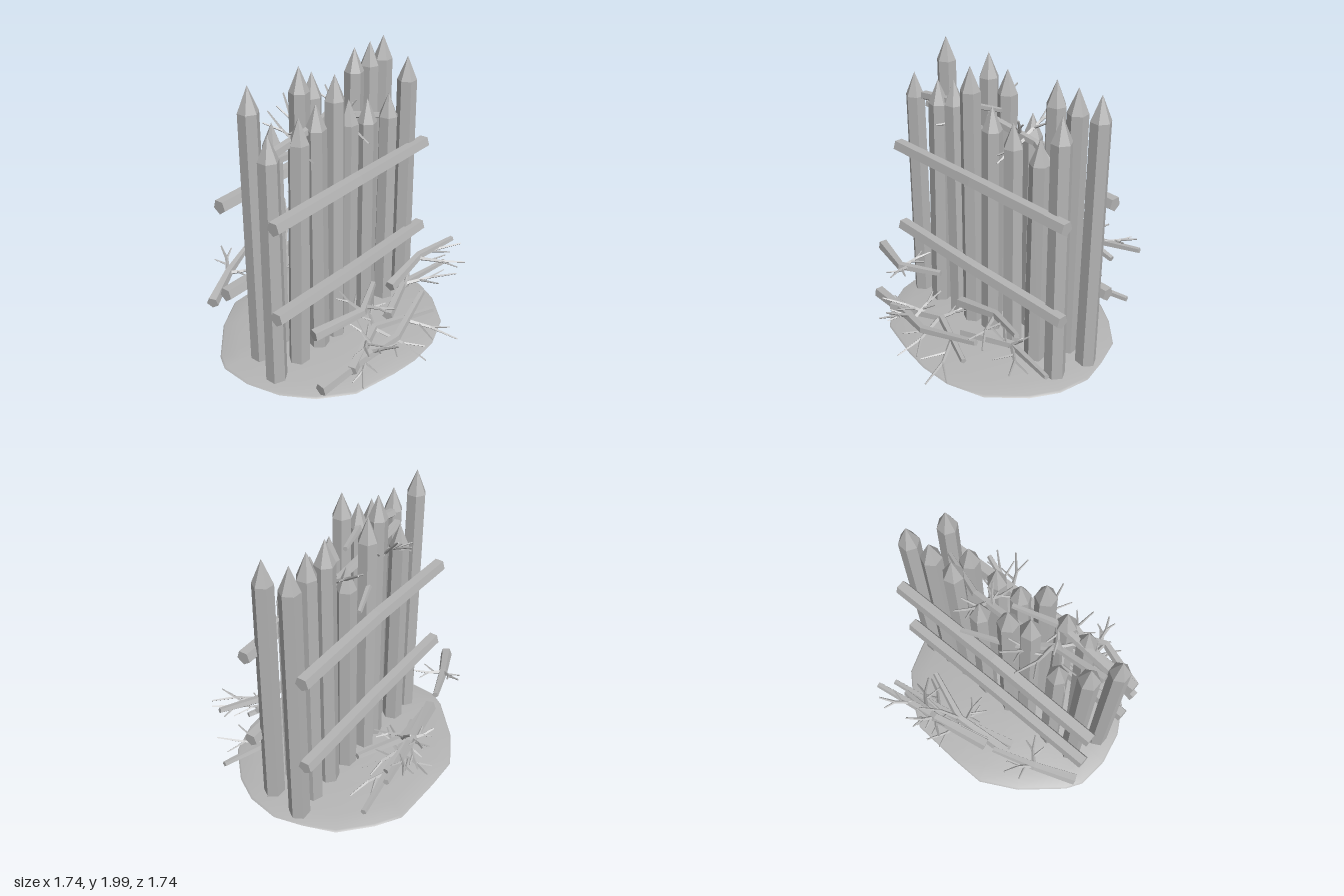
import * as THREE from 'three';

const V = (p) => new THREE.Vector3(...p);

// Faceted limb: polygon cross-sections swept along a path with a radius per point
function limb(path, radii, sides, spin = 0) {
  const pts = path.map(V), pos = [], idx = [];
  const last = pts.length - 1;
  pts.forEach((p, i) => {
    const t = pts[Math.min(i + 1, last)].clone().sub(pts[Math.max(i - 1, 0)]).normalize();
    const ref = Math.abs(t.y) > 0.9 ? V([1, 0, 0]) : V([0, 1, 0]);
    const s = new THREE.Vector3().crossVectors(t, ref).normalize();
    const n = new THREE.Vector3().crossVectors(t, s);
    for (let j = 0; j < sides; j++) {
      const a = spin + (j / sides) * Math.PI * 2;
      const q = p.clone().addScaledVector(s, Math.cos(a) * radii[i]).addScaledVector(n, Math.sin(a) * radii[i]);
      pos.push(q.x, q.y, q.z);
    }
  });
  pos.push(...pts[0].toArray(), ...pts[last].toArray());
  const c0 = pts.length * sides, c1 = c0 + 1;
  for (let j = 0; j < sides; j++) {
    const k = (j + 1) % sides;
    for (let i = 0; i < last; i++) {
      const a = i * sides + j, b = i * sides + k;
      idx.push(a, b, a + sides, b, b + sides, a + sides);
    }
    idx.push(c0, k, j, c1, last * sides + j, last * sides + k);
  }
  const g = new THREE.BufferGeometry();
  g.setAttribute('position', new THREE.Float32BufferAttribute(pos, 3));
  g.setIndex(idx);
  const flat = g.toNonIndexed();
  flat.computeVertexNormals();
  return flat;
}

// Low earth mound: outline rings shrinking towards the top, smooth shaded
function moundGeometry() {
  const outline = [[-.87, -.07], [-.85, -.3], [-.78, -.41], [-.51, -.65], [-.25, -.79], [0, -.79], [.38, -.77],
    [.55, -.66], [.74, -.48], [.82, -.26], [.87, -.06], [.83, .17], [.73, .35], [.52, .56], [.26, .65],
    [.02, .66], [-.18, .63], [-.5, .55], [-.7, .38], [-.82, .17]];
  const rings = [[1, 0], [0.985, 0.012], [0.85, 0.03], [0.6, 0.05], [0.3, 0.06], [0, 0.062]];
  const n = outline.length, pos = [], idx = [], cz = -0.065;
  for (const [s, y] of rings) for (const [x, z] of outline) pos.push(x * s, y, cz + (z - cz) * s);
  for (let r = 0; r < rings.length - 1; r++) for (let i = 0; i < n; i++) {
    const a = r * n + i, b = r * n + (i + 1) % n;
    idx.push(a, a + n, b, b, a + n, b + n);
  }
  // underside
  const base = pos.length / 3;
  for (const [x, z] of outline) pos.push(x, 0, z);
  pos.push(0, 0, cz);
  for (let i = 0; i < n; i++) idx.push(base + n, base + i, base + (i + 1) % n);
  const g = new THREE.BufferGeometry();
  g.setAttribute('position', new THREE.Float32BufferAttribute(pos, 3));
  g.setIndex(idx);
  g.computeVertexNormals();
  return g;
}

export function createModel() {
  const model = new THREE.Group();
  const grey = new THREE.MeshStandardMaterial({ color: 0xb4b4b4 });
  grey.name = 'weathered grey';
  const add = (name, geometry, parent = model) => {
    const m = new THREE.Mesh(geometry, grey);
    m.name = name;
    parent.add(m);
  };

  add('mound', moundGeometry());

  // Sharpened stakes: [x, z, height, lean in x at the foot]
  const rows = {
    frontStake: [[-.71, .05, 1.77, 0], [-.45, .06, 1.79, -.04], [-.29, .06, 1.83, .01], [-.12, .07, 1.97, 0],
      [.055, .045, 1.75, -.01], [.25, .05, 1.7, .01], [.485, .055, 1.67, 0], [.67, .075, 1.88, .02]],
    backStake: [[-.63, -.17, 1.99, .01], [-.425, -.18, 1.69, 0], [-.19, -.155, 1.99, .01], [-.04, -.18, 1.91, 0],
      [.19, -.18, 1.68, 0], [.395, -.17, 1.96, -.01], [.57, -.17, 1.96, 0], [.74, -.18, 1.96, 0]],
  };
  for (const [name, stakes] of Object.entries(rows)) {
    stakes.forEach(([x, z, h, lean], i) => {
      const path = [[x + lean, 0.01, z], [x, h - 0.165, z], [x, h, z]];
      add(name, limb(path, [0.074, 0.068, 0], 6, i * 0.37));
    });
  }

  // Cross rails, slightly bowed, on both faces
  for (const [z, bow] of [[.15, .015], [-.29, .005]]) {
    add('upperRail', limb([[-.8, 1.225, z], [0, 1.24, z + bow], [.805, 1.225, z]], [.05, .05, .05], 5, .3));
    add('lowerRail', limb([[-.8, .58, z], [0, .57, z + bow], [.805, .548, z]], [.05, .05, .05], 5, .3));
  }

  // Dead branches: path, thickness, twigs as [foot, tip]
  const branches = {
    frontBranch: [
      [[[-.73, .53, .39], [-.38, .56, .5], [-.1, .58, .38]], .042,
        [[[-.37, .56, .49], [-.33, .6, .28]], [[-.33, .57, .48], [-.27, .6, .67]]]],
      [[[-.74, .14, .45], [-.36, .18, .5], [-.08, .22, .57], [.36, .31, .48]], .045,
        [[[-.3, .19, .5], [-.28, .33, .72]], [[-.3, .19, .5], [-.52, .1, .62]], [[-.25, .2, .5], [-.2, .35, .3]]]],
      [[[-.5, .17, .51], [-.09, .22, .39], [.35, .21, .58]], .04,
        [[[-.1, .22, .42], [-.07, .13, .8]], [[-.1, .22, .4], [0, .3, .22]],
          [[.12, .21, .48], [.27, .12, .84]], [[-.2, .21, .42], [-.46, .31, .62]]]],
      [[[.1, .45, .38], [.45, .53, .38], [.73, .58, .48]], .04,
        [[[.45, .53, .38], [.72, .57, .56]], [[.43, .52, .38], [.62, .5, .66]]]],
      [[[.1, .2, .37], [.47, .23, .25], [.87, .265, .35]], .038,
        [[[.47, .23, .26], [.73, .3, .54]], [[.45, .22, .27], [.58, .34, .21]]]],
    ],
    backBranch: [
      [[[-.82, .48, -.4], [-.55, .53, -.52], [-.26, .56, -.62]], .042,
        [[[-.55, .53, -.52], [-.42, .55, -.35]], [[-.55, .53, -.52], [-.43, .62, -.7]]]],
      [[[-.28, .19, -.45], [.1, .26, -.56], [.69, .27, -.66]], .042,
        [[[.1, .26, -.56], [.2, .3, -.84]], [[.3, .27, -.6], [.53, .15, -.45]], [[.1, .26, -.56], [0, .34, -.4]]]],
      [[[-.3, .34, -.54], [.1, .41, -.58], [.45, .45, -.45]], .042,
        [[[.05, .4, -.57], [.09, .36, -.35]], [[.1, .41, -.58], [.3, .68, -.75]]]],
      [[[-.19, .51, -.62], [.2, .56, -.71], [.5, .5, -.7]], .045,
        [[[.2, .55, -.7], [.33, .65, -.86]], [[.2, .55, -.7], [.08, .6, -.8]], [[.3, .54, -.7], [.48, .4, -.5]]]],
      [[[-.17, .46, -.6], [.22, .55, -.71], [.66, .6, -.8]], .042,
        [[[.4, .58, -.74], [.58, .63, -.87]], [[.2, .54, -.7], [.3, .42, -.82]]]],
    ],
    upperBranch: [
      [[[-.66, 1.54, -.02], [-.3, 1.5, -.04], [-.05, 1.45, -.2], [.24, 1.42, -.31]], .032,
        [[[-.28, 1.5, -.04], [-.25, 1.66, -.37]], [[-.3, 1.5, -.04], [-.4, 1.5, .13]],
          [[-.2, 1.48, -.1], [-.12, 1.75, -.35]], [[-.35, 1.5, -.04], [-.52, 1.45, -.22]]]],
      [[[-.65, 1.61, .02], [-.25, 1.67, .03], [.03, 1.68, -.06]], .034,
        [[[-.25, 1.66, .03], [-.34, 1.6, -.12]]]],
      [[[-.13, 1.57, -.1], [.3, 1.53, -.1], [.64, 1.45, .03]], .034,
        [[[.2, 1.54, -.1], [.27, 1.7, -.32]], [[.22, 1.54, -.1], [.18, 1.42, .12]], [[.15, 1.54, -.1], [.22, 1.68, -.02]]]],
    ],
  };
  for (const [name, list] of Object.entries(branches)) {
    for (const [path, r, twigs] of list) {
      const group = new THREE.Group();
      group.name = name;
      model.add(group);
      const taper = path.map((_, i) => r * (1 - 0.5 * i / (path.length - 1)));
      add('stem', limb(path, taper, 5, 0.4), group);
      // each twig kinks slightly and carries two short offshoots
      twigs.forEach(([foot, tip], k) => {
        const a = V(foot), d = V(tip).sub(a), side = new THREE.Vector3(-d.z, 0.3 * d.x, d.x);
        const at = (t, s) => a.clone().addScaledVector(d, t).addScaledVector(side, s).toArray();
        const sgn = k % 2 ? 1 : -1;
        add('twig', limb([foot, at(0.5, 0.07 * sgn), tip], [.016, .011, .006], 4), group);
        add('offshoot', limb([at(0.5, 0.07 * sgn), at(0.82, 0.3 * sgn)], [.009, .005], 4), group);
        add('offshoot', limb([at(0.3, 0.04 * sgn), at(0.6, -0.3 * sgn)], [.01, .005], 4), group);
      });
    }
  }
  return model;
}
